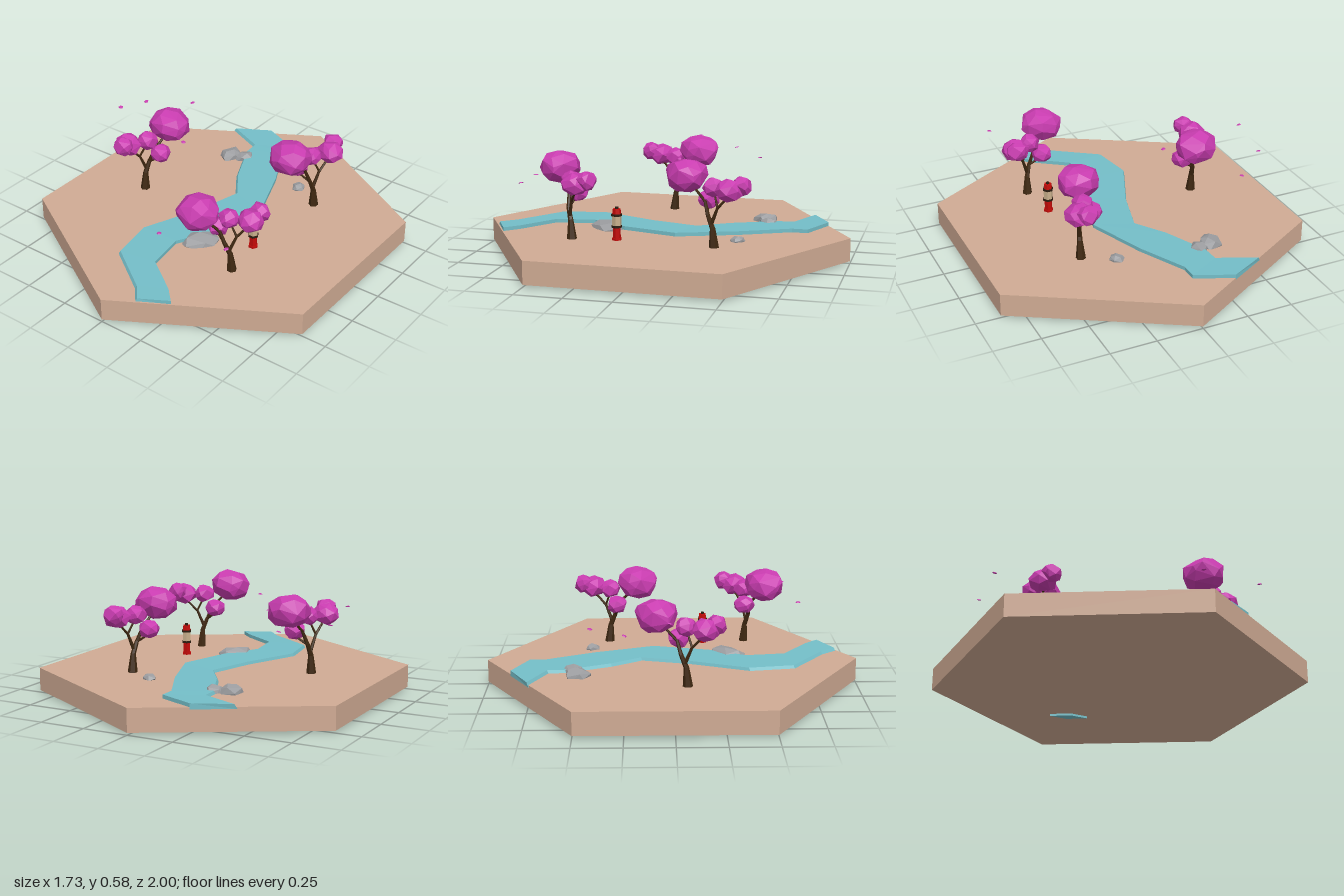
import * as THREE from 'three';
import { ConvexGeometry } from 'three/addons/geometries/ConvexGeometry.js';

const GROUND = 0.135;

function mat(name, color, extra = {}) {
  return new THREE.MeshStandardMaterial({ name, color, flatShading: true, ...extra });
}

// Small seeded random generator
function seeded(seed) {
  let s = seed;
  return () => ((s = (s * 16807) % 2147483647) / 2147483647);
}

function add(parent, name, geometry, material, x = 0, y = 0, z = 0) {
  const mesh = new THREE.Mesh(geometry, material);
  mesh.name = name;
  mesh.position.set(x, y, z);
  parent.add(mesh);
  return mesh;
}

// Faceted lump: hull of points spread unevenly over an ellipsoid
function lump(rx, ry, rz, seed, count = 24) {
  const rand = seeded(seed * 7919 + 13);
  const points = [];
  for (let i = 0; i < count; i++) {
    const y = 1 - (2 * (i + 0.5)) / count;
    const a = i * 2.39996 + (rand() - 0.5) * 0.7;
    const r = Math.sqrt(1 - y * y);
    const k = 0.95 + rand() * 0.13;
    points.push(new THREE.Vector3(Math.cos(a) * r * rx * k, y * ry * k, Math.sin(a) * r * rz * k));
  }
  return new ConvexGeometry(points);
}

// Tapered limb between two points
function limb(parent, name, from, to, r0, r1, material) {
  const a = new THREE.Vector3(...from), b = new THREE.Vector3(...to);
  const dir = b.clone().sub(a);
  const mesh = add(parent, name, new THREE.CylinderGeometry(r1, r0, dir.length(), 6), material);
  mesh.position.copy(a).add(b).multiplyScalar(0.5);
  mesh.quaternion.setFromUnitVectors(new THREE.Vector3(0, 1, 0), dir.normalize());
}

function makeTree(bark, blossom) {
  const tree = new THREE.Group();
  tree.name = 'tree';
  const limbs = [
    ['trunk', [0, -0.005, 0], [0, 0.1, 0.008], 0.027, 0.014],
    ['trunk', [0, 0.098, 0.008], [-0.008, 0.165, 0.035], 0.014, 0.011],
    ['branch', [-0.008, 0.16, 0.034], [-0.03, 0.235, 0.055], 0.011, 0.008],
    ['branch', [-0.03, 0.232, 0.055], [-0.055, 0.31, 0.13], 0.008, 0.006],
    ['branch', [-0.008, 0.16, 0.034], [-0.07, 0.2, 0.05], 0.007, 0.005],
    ['branch', [0, 0.12, 0.015], [0.015, 0.21, -0.02], 0.01, 0.007],
    ['branch', [0.015, 0.208, -0.02], [0.035, 0.28, -0.085], 0.007, 0.005],
    ['branch', [0.015, 0.208, -0.02], [-0.015, 0.285, 0.005], 0.006, 0.005],
    ['branch', [0.03, 0.25, -0.055], [0.02, 0.31, -0.15], 0.005, 0.004],
  ];
  for (const [name, from, to, r0, r1] of limbs) limb(tree, name, from, to, r0, r1, bark);

  // Centre, then radii
  const crowns = [
    [-0.06, 0.355, 0.16, 0.112, 0.088, 0.112],
    [-0.08, 0.232, 0.045, 0.056, 0.052, 0.06],
    [-0.02, 0.31, 0.01, 0.056, 0.05, 0.058],
    [0.04, 0.31, -0.085, 0.075, 0.06, 0.07],
    [0.018, 0.33, -0.145, 0.056, 0.053, 0.05],
  ];
  crowns.forEach(([x, y, z, rx, ry, rz], i) =>
    add(tree, 'blossomCluster', lump(rx, ry, rz, i + 3, i ? 22 : 32), blossom, x, y, z));
  return tree;
}

// Raised water ribbon built from cross-sections running back to front
function riverGeometry() {
  const left = [[-0.46, -0.74], [-0.255, -0.65], [-0.25, -0.56], [-0.14, -0.32], [-0.03, -0.16],
    [-0.1, 0.1], [-0.23, 0.41], [-0.19, 0.65], [0.07, 0.83], [0.14, 0.91]];
  const right = [[-0.26, -0.85], [-0.06, -0.765], [-0.06, -0.68], [0.07, -0.42], [0.19, -0.1],
    [0.11, 0.2], [0, 0.4], [0.03, 0.61], [0.23, 0.75], [0.3, 0.82]];
  const rows = left.map(([lx, lz], i) => {
    const [rx, rz] = right[i];
    return [[lx, 0.125, lz], [lx + 0.012, 0.151, lz - 0.011], [rx, 0.155, rz], [rx, 0.125, rz]];
  });
  const pos = [];
  const quad = (a, b, c, d) => pos.push(...a, ...b, ...c, ...a, ...c, ...d);
  for (let i = 0; i < rows.length - 1; i++) {
    for (let j = 0; j < 3; j++) quad(rows[i][j], rows[i + 1][j], rows[i + 1][j + 1], rows[i][j + 1]);
  }
  quad(...rows[0]);
  quad(...rows[rows.length - 1].slice().reverse());
  const g = new THREE.BufferGeometry();
  g.setAttribute('position', new THREE.Float32BufferAttribute(pos, 3));
  g.computeVertexNormals();
  return g;
}

export function createModel() {
  const model = new THREE.Group();
  model.name = 'gardenTile';
  const earth = mat('earth', 0xd0ab94);
  const water = mat('water', 0x74bec8);
  const stone = mat('stone', 0x9c9da0);
  const bark = mat('bark', 0x3f2811);
  const blossom = mat('blossom', 0xc93cb0);
  const red = mat('lanternRed', 0xc40a08);
  const dark = mat('lanternTrim', 0x2b1c10);
  const paper = mat('lanternPaper', 0xc9b08c);

  // Hexagonal base and river
  add(model, 'base', new THREE.CylinderGeometry(1, 1, GROUND - 0.012, 6), earth, 0, (GROUND + 0.012) / 2, 0);
  add(model, 'river', riverGeometry(), water);

  // Sliver of the river bed showing under the base
  const bed = new THREE.Shape([[-0.16, 0.53], [-0.06, 0.53], [0.04, 0.47], [-0.06, 0.47]]
    .map(([x, y]) => new THREE.Vector2(x, y)));
  const bedGeometry = new THREE.ExtrudeGeometry(bed, { depth: 0.014, bevelEnabled: false });
  bedGeometry.rotateX(-Math.PI / 2);
  add(model, 'riverBed', bedGeometry, water);

  // Trees: x, z, turn
  for (const [x, z, turn] of [[0.37, -0.35, 0], [-0.48, 0.07, Math.PI], [0.37, 0.41, -0.56]]) {
    const tree = makeTree(bark, blossom);
    tree.position.set(x, GROUND, z);
    tree.rotation.y = turn;
    model.add(tree);
  }

  // Rocks: x, z, radii, turn
  const rocks = [
    [-0.3, -0.5, 0.06, 0.045, 0.072, 0.2],
    [-0.22, -0.525, 0.048, 0.036, 0.06, -0.3],
    [0.21, -0.44, 0.038, 0.028, 0.042, 0.5],
    [0.09, 0.3, 0.07, 0.045, 0.112, 2.55],
  ];
  rocks.forEach(([x, z, rx, ry, rz, turn], i) => {
    add(model, 'rock', lump(rx, ry, rz, i + 21, 18), stone, x, GROUND + 0.002, z).rotation.y = turn;
  });

  // Lantern: stacked hexagonal sections from the ground up
  const lantern = new THREE.Group();
  lantern.name = 'lantern';
  lantern.position.set(0.337, GROUND, 0.175);
  const sections = [
    ['foot', 0.012, 0.026, 0.026, red],
    ['post', 0.055, 0.021, 0.021, red],
    ['lowerRim', 0.011, 0.029, 0.029, dark],
    ['paperShade', 0.05, 0.025, 0.025, paper],
    ['upperRim', 0.011, 0.029, 0.029, dark],
    ['cap', 0.027, 0.024, 0.021, red],
    ['finial', 0.01, 0.009, 0.009, dark],
  ];
  let y = 0;
  for (const [name, height, r0, r1, material] of sections) {
    add(lantern, name, new THREE.CylinderGeometry(r1, r0, height, 6), material, 0, y + height / 2, 0)
      .rotation.y = Math.PI / 6;
    y += height;
  }
  model.add(lantern);

  // Drifting petals
  const petals = [[-0.52, 0.45, -0.42], [-0.72, 0.47, -0.245], [-0.72, 0.53, -0.025],
    [-0.265, 0.47, -0.01], [0.13, 0.418, 0.69], [0.5, 0.447, 0.635]];
  petals.forEach(([x, py, z], i) => {
    add(model, 'petal', new THREE.CylinderGeometry(0.01, 0.014, 0.004, 5), blossom, x, py, z)
      .rotation.set(0.15, i * 1.3, 0.2);
  });

  return model;
}
